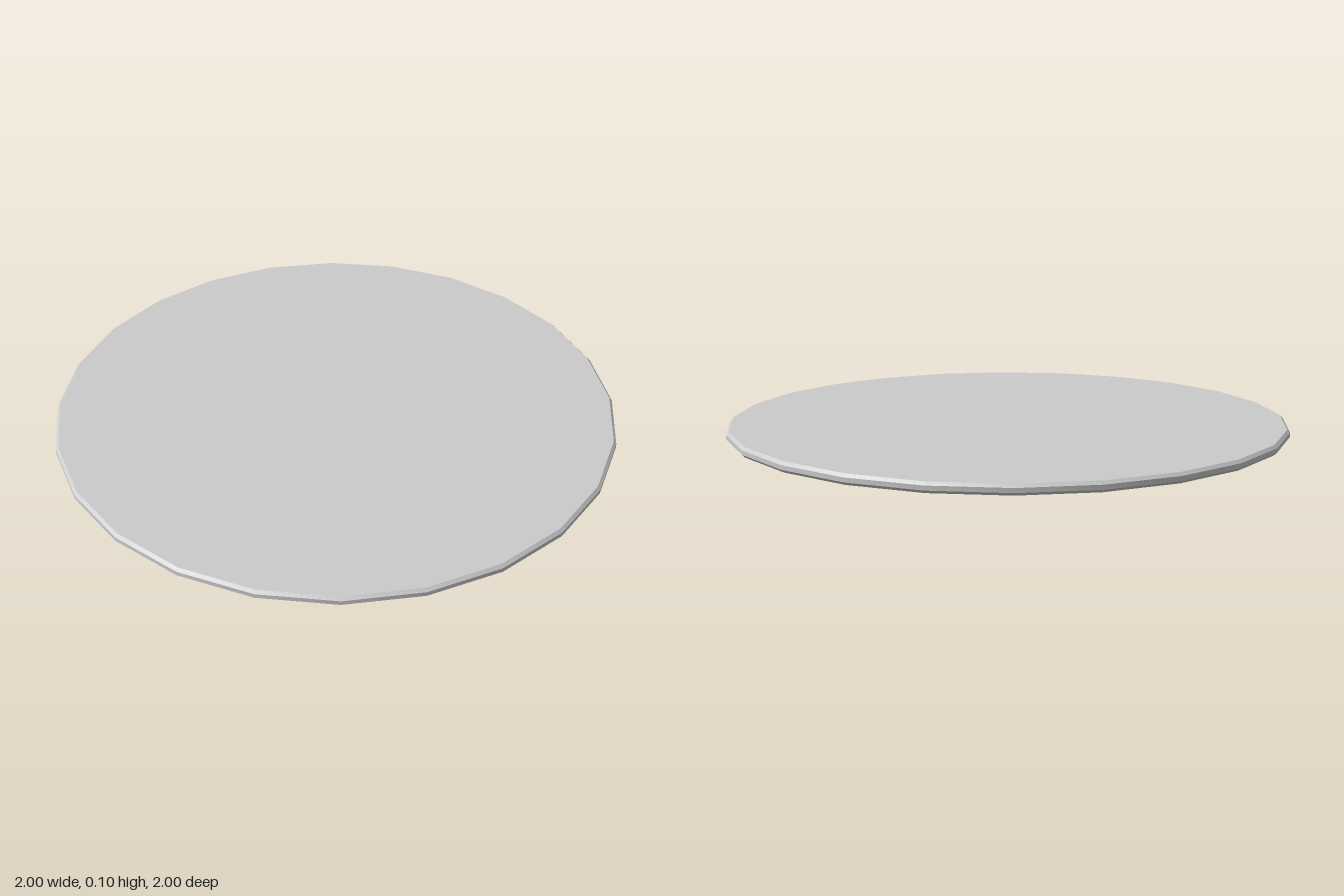
import * as THREE from 'three';
import { toCreasedNormals } from 'three/addons/utils/BufferGeometryUtils.js';

const material = new THREE.MeshStandardMaterial({ color: 0xcccccc });

// Solid disc with softened rims, turned around the y axis
function bevelledDisc(name, radius, bottom, top, bevelBottom, bevelTop, sides) {
  const profile = [
    [0, bottom],
    [radius - bevelBottom, bottom],
    [radius, bottom + bevelBottom],
    [radius, top - bevelTop],
    [radius - bevelTop, top],
    [0, top],
  ].map(([x, y]) => new THREE.Vector2(x, y));
  const geometry = toCreasedNormals(new THREE.LatheGeometry(profile, sides), 0.6);
  const mesh = new THREE.Mesh(geometry, material);
  mesh.name = name;
  return mesh;
}

export function createModel() {
  const group = new THREE.Group();
  group.name = 'turntable';

  // Wide 24-sided plate
  group.add(bevelledDisc('plate', 1, 0.07, 0.105, 0.01, 0.01, 24));

  // Round foot under the plate, sunk slightly into it
  group.add(bevelledDisc('foot', 0.33, 0, 0.08, 0.008, 0.001, 48));

  return group;
}
